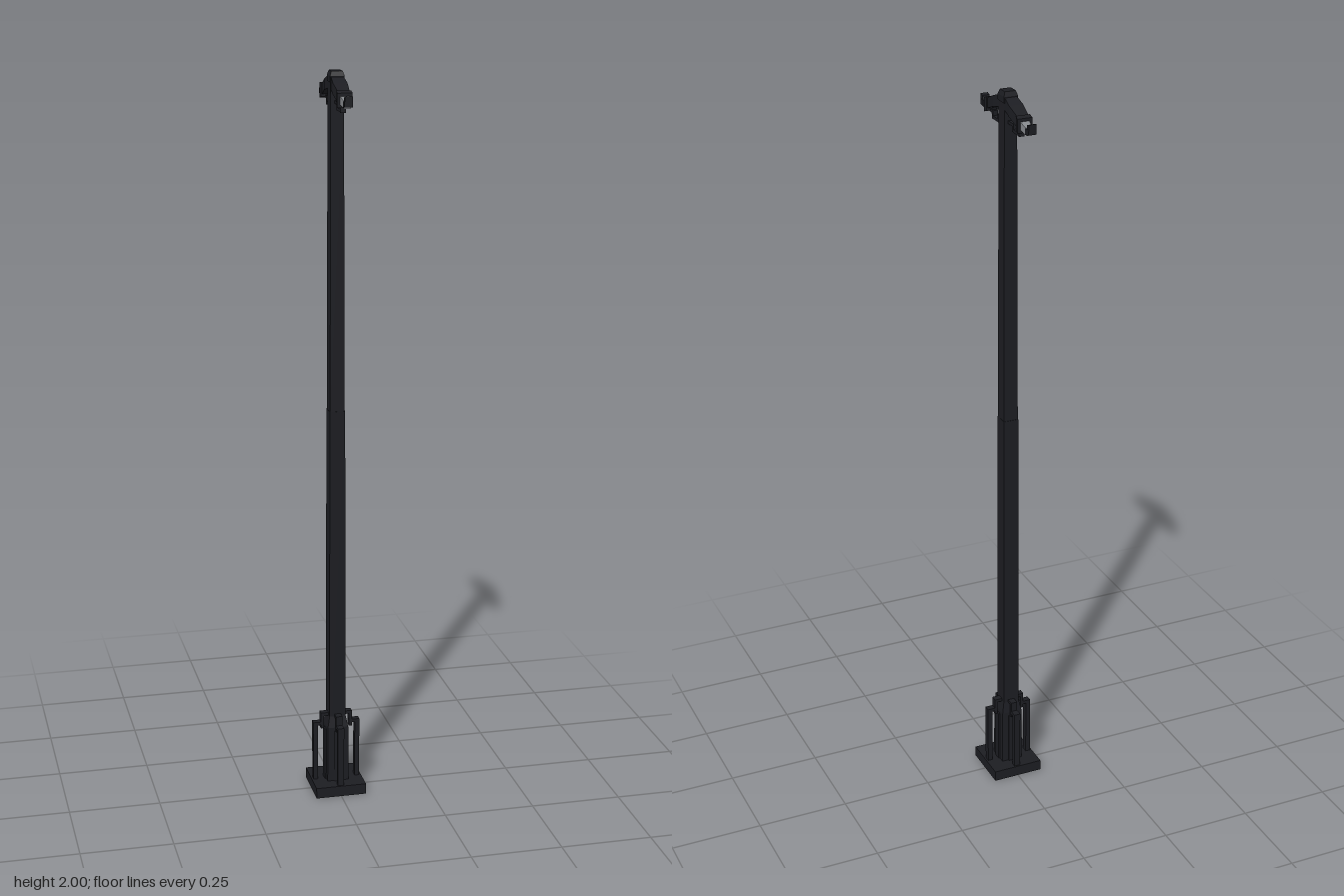
import * as THREE from 'three';

const dark = new THREE.MeshStandardMaterial({ color: 0x1c1d22, flatShading: true });
const lens = new THREE.MeshStandardMaterial({ color: 0x85888c, flatShading: true });

function add(parent, name, geometry, material = dark) {
  const mesh = new THREE.Mesh(geometry, material);
  mesh.name = name;
  parent.add(mesh);
  return mesh;
}

function box(parent, name, w, h, d, x, y, z, material) {
  const mesh = add(parent, name, new THREE.BoxGeometry(w, h, d), material);
  mesh.position.set(x, y, z);
  return mesh;
}

// Square tapered column; r0 and r1 are half widths at bottom and top
function column(parent, name, r0, r1, y0, y1) {
  const g = new THREE.CylinderGeometry(r1 * Math.SQRT2, r0 * Math.SQRT2, y1 - y0, 4);
  g.rotateY(Math.PI / 4);
  g.translate(0, (y0 + y1) / 2, 0);
  return add(parent, name, g);
}

// Bar along +z between [z, yBottom, yTop, halfWidth] stations
function bar(parent, name, a, b, material) {
  const g = new THREE.BoxGeometry(1, 1, 1);
  const p = g.attributes.position;
  for (let i = 0; i < p.count; i++) {
    const s = p.getZ(i) < 0 ? a : b;
    p.setXYZ(i, Math.sign(p.getX(i)) * s[3], p.getY(i) < 0 ? s[1] : s[2], s[0]);
  }
  g.computeVertexNormals();
  return add(parent, name, g, material);
}

// Stepped strap standing beside the foot of the pole
function createFootBracket() {
  const g = new THREE.Group();
  g.name = 'footBracket';
  box(g, 'bracketPost', 0.018, 0.17, 0.013, 0, 0.115, 0.059);
  box(g, 'bracketShelf', 0.018, 0.009, 0.03, 0, 0.197, 0.0505);
  box(g, 'bracketRiser', 0.018, 0.045, 0.008, 0, 0.205, 0.04);
  box(g, 'bracketTop', 0.018, 0.009, 0.028, 0, 0.224, 0.03);
  return g;
}

// Lamp arm reaching out along +z
function createLampArm() {
  const g = new THREE.Group();
  g.name = 'lampArm';
  bar(g, 'armRoot', [0.012, 1.955, 1.988, 0.016], [0.05, 1.945, 1.974, 0.019]);
  bar(g, 'armBody', [0.05, 1.945, 1.974, 0.019], [0.093, 1.928, 1.956, 0.015]);
  bar(g, 'armCollar', [0.09, 1.922, 1.96, 0.019], [0.102, 1.918, 1.955, 0.02]);
  bar(g, 'lamp', [0.102, 1.926, 1.947, 0.012], [0.132, 1.92, 1.937, 0.009], lens);
  // Upturned end of the lamp
  bar(g, 'tipSeat', [0.128, 1.922, 1.938, 0.011], [0.146, 1.925, 1.939, 0.011]);
  bar(g, 'tipHook', [0.136, 1.936, 1.949, 0.01], [0.147, 1.935, 1.952, 0.01]);
  bar(g, 'tipGlass', [0.133, 1.937, 1.942, 0.007], [0.142, 1.94, 1.947, 0.007], lens);
  // Stepped brace below the arm
  box(g, 'braceInner', 0.014, 0.008, 0.03, 0, 1.922, 0.031);
  box(g, 'braceDrop', 0.014, 0.022, 0.007, 0, 1.915, 0.045);
  box(g, 'braceLower', 0.014, 0.008, 0.038, 0, 1.908, 0.062);
  box(g, 'braceRise', 0.014, 0.022, 0.007, 0, 1.914, 0.08);
  box(g, 'braceOuter', 0.014, 0.008, 0.022, 0, 1.923, 0.09);
  return g;
}

export function createModel() {
  const model = new THREE.Group();
  model.name = 'lampPost';

  // Foot
  box(model, 'basePlate', 0.141, 0.03, 0.141, 0, 0.015, 0);
  column(model, 'footSleeve', 0.03, 0.029, 0.03, 0.19);
  column(model, 'sleeveShoulder', 0.029, 0.022, 0.19, 0.225);

  // Pole in two tapering lengths, with a chamfered cap
  column(model, 'lowerPole', 0.023, 0.021, 0.03, 1.1);
  column(model, 'upperPole', 0.02, 0.0175, 1.1, 1.975);
  column(model, 'capBand', 0.019, 0.019, 1.972, 1.988);
  column(model, 'cap', 0.019, 0.015, 1.988, 2);

  for (let i = 0; i < 4; i++) {
    const bracket = createFootBracket();
    bracket.rotation.y = i * Math.PI / 2;
    // Raised rib on each face of the sleeve
    box(bracket, 'sleeveRib', 0.022, 0.15, 0.006, 0, 0.105, 0.031);
    model.add(bracket);
  }

  for (let i = 0; i < 2; i++) {
    const arm = createLampArm();
    arm.rotation.y = i * Math.PI;
    model.add(arm);
  }
  return model;
}
